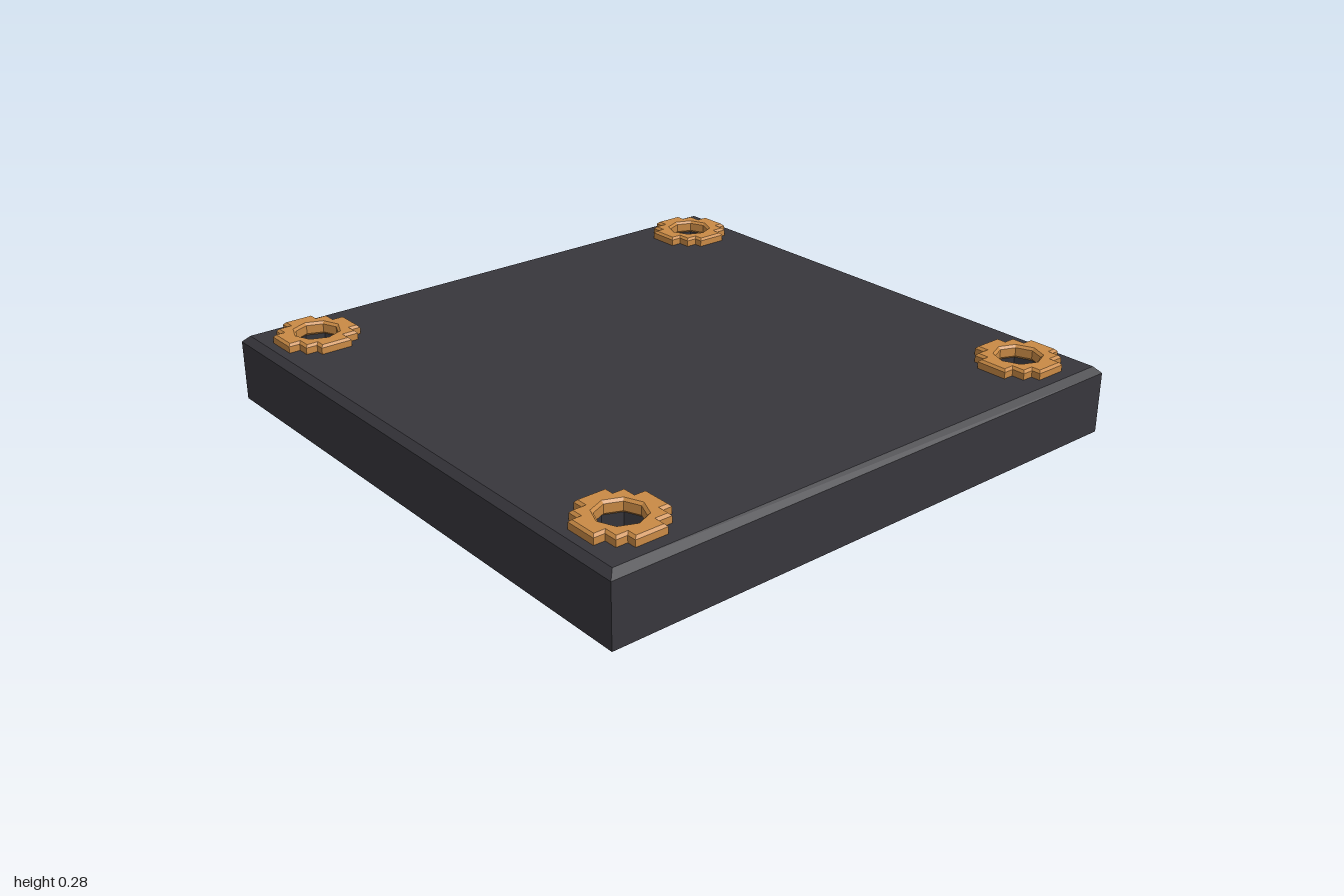
import * as THREE from 'three';

const HOLES = [-0.817, 0.805].flatMap(x => [-0.815, 0.815].map(z => [x, z]));

// Octagonal hole with corners on the axes
function octagon(cx, cy, r) {
  const pts = [];
  for (let i = 0; i < 8; i++) {
    const a = -i * Math.PI / 4;
    pts.push(new THREE.Vector2(cx + r * Math.cos(a), cy + r * Math.sin(a)));
  }
  return new THREE.Path(pts);
}

// Slab with four holes and a chamfer around its top edge
function slabGeometry() {
  const bottom = 0.025, shoulder = 0.233, top = 0.255, inset = 0.978;
  const shape = new THREE.Shape([[-1, -1], [1, -1], [1, 1], [-1, 1]].map(p => new THREE.Vector2(...p)));
  for (const [x, z] of HOLES) shape.holes.push(octagon(x, -z, 0.082));
  const geo = new THREE.ExtrudeGeometry(shape, { depth: 2, steps: 2, bevelEnabled: false });
  geo.rotateX(-Math.PI / 2);
  const p = geo.attributes.position;
  const heights = [bottom, shoulder, top];
  for (let i = 0; i < p.count; i++) {
    const level = Math.round(p.getY(i));
    p.setY(i, heights[level]);
    if (level === 2) {
      p.setX(i, THREE.MathUtils.clamp(p.getX(i), -inset, inset));
      p.setZ(i, THREE.MathUtils.clamp(p.getZ(i), -inset, inset));
    }
  }
  geo.computeVertexNormals();
  return geo;
}

// Stepped, bevelled ring standing from y = 0 to y = height
function ringGeometry(height) {
  const quarter = [[0.132, -0.055], [0.132, 0.055], [0.094, 0.055], [0.094, 0.1], [0.055, 0.1]];
  const pts = [];
  for (let k = 0; k < 4; k++) {
    for (const [x, y] of quarter) {
      // the same stepped corner, turned by quarter turns
      const q = new THREE.Vector2(x, y).rotateAround(new THREE.Vector2(), k * Math.PI / 2);
      pts.push(q);
    }
  }
  const shape = new THREE.Shape(pts);
  shape.holes.push(octagon(0, 0, 0.072));
  const b = 0.008;
  const geo = new THREE.ExtrudeGeometry(shape, {
    depth: height - 2 * b, bevelEnabled: true, bevelSegments: 1,
    bevelThickness: b, bevelSize: b, bevelOffset: -b,
  });
  geo.translate(0, 0, b);
  geo.rotateX(-Math.PI / 2);
  return geo;
}

export function createModel() {
  const charcoal = new THREE.MeshStandardMaterial({ color: 0x37363c, name: 'charcoal' });
  const copper = new THREE.MeshStandardMaterial({ color: 0xc98a45, name: 'copper' });
  const model = new THREE.Group();
  model.name = 'plate';

  const slab = new THREE.Mesh(slabGeometry(), charcoal);
  slab.name = 'slab';
  model.add(slab);

  // Rings around each hole, above and below
  const ring = ringGeometry(0.045);
  for (const [x, z] of HOLES) {
    for (const [name, y] of [['bottomRing', 0.004], ['topRing', 0.24]]) {
      const mesh = new THREE.Mesh(ring, copper);
      mesh.name = name;
      mesh.position.set(x, y - 0.004 * (y < 0.1), z);
      model.add(mesh);
    }
  }
  return model;
}
